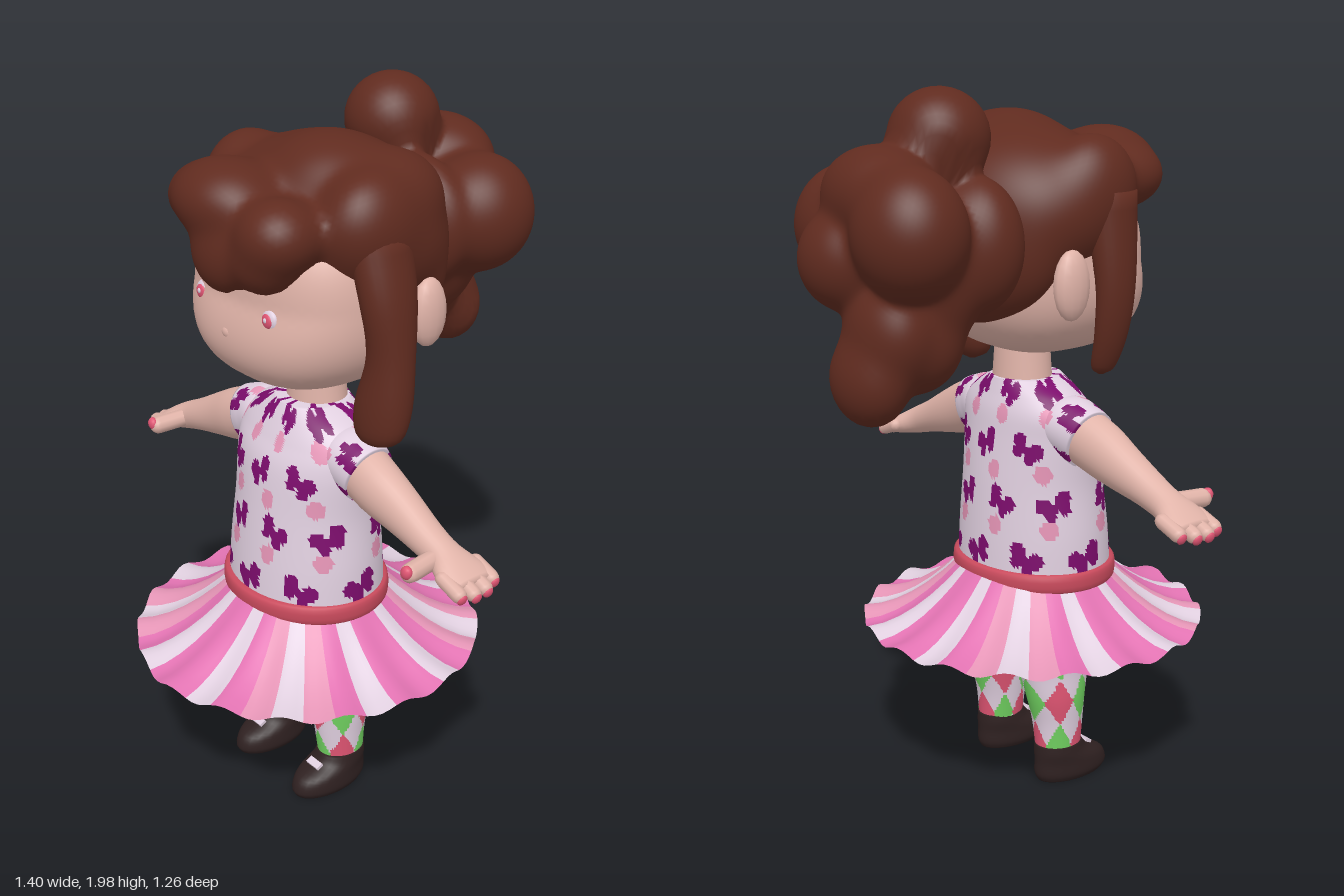
import * as THREE from 'three';
import { mergeVertices } from 'three/addons/utils/BufferGeometryUtils.js';

const mat = (name, color, side = THREE.FrontSide) => {
  const m = new THREE.MeshStandardMaterial({ color, side });
  m.name = name;
  return m;
};
const two = THREE.DoubleSide;

// Closed smooth skin through sections [y, x, z, radiusX, radiusZ], listed bottom to top
function loft(sections, around = 28, rows = 20) {
  const centre = new THREE.CatmullRomCurve3(sections.map(s => new THREE.Vector3(s[1], s[0], s[2])), false, 'catmullrom');
  const radius = new THREE.CatmullRomCurve3(sections.map(s => new THREE.Vector3(s[3], s[4], 0)), false, 'catmullrom');
  const pos = [], index = [];
  for (let i = 0; i <= rows; i++) {
    const c = centre.getPoint(i / rows), r = radius.getPoint(i / rows);
    for (let j = 0; j < around; j++) {
      const a = j / around * Math.PI * 2;
      pos.push(c.x + r.x * Math.sin(a), c.y, c.z + r.y * Math.cos(a));
    }
  }
  const low = centre.getPoint(0), high = centre.getPoint(1), n = pos.length / 3;
  pos.push(low.x, low.y, low.z, high.x, high.y, high.z);
  for (let j = 0; j < around; j++) {
    const k = (j + 1) % around, top = rows * around;
    for (let i = 0; i < rows; i++) {
      const a = i * around + j, b = i * around + k;
      index.push(a, b, a + around, b, b + around, a + around);
    }
    index.push(n, k, j, n + 1, top + j, top + k);
  }
  const g = new THREE.BufferGeometry();
  g.setAttribute('position', new THREE.Float32BufferAttribute(pos, 3));
  g.setIndex(index);
  g.computeVertexNormals();
  return g;
}

// Weld a geometry, move every vertex by a rule and smooth it
function reshape(source, rule) {
  source.deleteAttribute('uv');
  source.deleteAttribute('normal');
  const g = mergeVertices(source, 1e-4), p = g.attributes.position, v = new THREE.Vector3();
  for (let i = 0; i < p.count; i++) {
    rule(v.fromBufferAttribute(p, i));
    p.setXYZ(i, v.x, v.y, v.z);
  }
  g.computeVertexNormals();
  return g;
}

// Sphere grown to the outside of softly merged ellipsoids [x, y, z, rx, ry, rz]
function clump(centre, lumps, soft) {
  const field = p => {
    let sum = 0;
    for (const [x, y, z, a, b, c] of lumps) {
      const q = Math.hypot((p.x - x) / a, (p.y - y) / b, (p.z - z) / c);
      sum += Math.exp(-(q - 1) * Math.min(a, b, c) / soft);
    }
    return sum - 1;
  };
  const c = new THREE.Vector3(...centre), p = new THREE.Vector3();
  return reshape(new THREE.IcosahedronGeometry(1, 24), v => {
    const inside = r => field(p.copy(v).multiplyScalar(r).add(c)) > 0;
    let r = 0.75;
    while (r > 0.02 && !inside(r)) r -= 0.012;
    let lo = r, hi = r + 0.012;
    for (let k = 0; k < 8; k++) {
      const mid = (lo + hi) / 2;
      if (inside(mid)) lo = mid; else hi = mid;
    }
    v.multiplyScalar(lo).add(c);
  });
}

// Sort triangles into material groups; rule(angle, y) gives a material number
function paint(g, cx, cz, rule) {
  const p = g.attributes.position, idx = g.index.array, bins = [[], [], []];
  for (let i = 0; i < idx.length; i += 3) {
    const t = [idx[i], idx[i + 1], idx[i + 2]];
    const mean = f => t.reduce((s, k) => s + f(k), 0) / 3;
    const a = Math.atan2(mean(k => p.getX(k)) - cx, mean(k => p.getZ(k)) - cz);
    bins[rule(a, mean(k => p.getY(k)))].push(...t);
  }
  let start = 0;
  bins.forEach((b, m) => {
    if (b.length) g.addGroup(start, b.length, m);
    start += b.length;
  });
  g.setIndex(bins.flat());
  return g;
}

// Staggered butterflies with dots between them
function butterflies(angle, y) {
  const cell = angle / (Math.PI / 4), row = Math.round((y - 0.7) / 0.155);
  const u = cell - (row & 1) / 2, col = Math.round(u);
  const tilt = (col + row) % 2 ? 0.5 : -0.4;
  const x0 = (u - col) * 0.175, y0 = y - 0.7 - row * 0.155;
  const x = Math.abs(x0 * Math.cos(tilt) - y0 * Math.sin(tilt)), h = x0 * Math.sin(tilt) + y0 * Math.cos(tilt);
  if (Math.hypot(x - 0.03, h - 0.014) < 0.023 || Math.hypot(x - 0.022, h + 0.017) < 0.017 || (x < 0.015 && Math.abs(h) < 0.013)) return 1;
  const d = cell - 0.3, dRow = Math.round((y - 0.79) / 0.155), shift = d - (dRow & 1 ? 0 : 0.1);
  return Math.hypot((shift - Math.round(shift)) * 0.175, y - 0.79 - dRow * 0.155) < 0.027 ? 2 : 0;
}

// Diamonds of two colours on a plain ground
function harlequin(angle, y) {
  const u = angle / (Math.PI * 2) * 6 + 0.5, v = y / 0.14 - 0.35;
  const inside = Math.abs(u - Math.floor(u) - 0.5) + Math.abs(v - Math.floor(v) - 0.5) < 0.52;
  return inside ? 1 + Math.abs(Math.floor(u) + Math.floor(v) + 1) % 2 : 0;
}

export function createModel() {
  const skin = mat('skin', 0xe0b3a8), hair = mat('hair brown', 0x602b1f), shoe = mat('shoe brown', 0x2e2020);
  const white = mat('pale lilac', 0xe0cfdf, two), hot = mat('bright pink', 0xe273b2, two), light = mat('light pink', 0xe595b6, two);
  const purple = mat('purple', 0x7c0c6c), coral = mat('coral', 0xe05573), green = mat('green', 0x70d060), belt = mat('belt red', 0xc84a5c);
  const model = new THREE.Group();
  const add = (name, g, m, parent = model) => {
    const mesh = new THREE.Mesh(g, m);
    mesh.name = name;
    parent.add(mesh);
    return mesh;
  };
  const ball = (name, m, [x, y, z], [a, b, c], parent = model) => {
    const mesh = add(name, new THREE.SphereGeometry(1, 14, 10), m, parent);
    mesh.position.set(x, y, z);
    mesh.scale.set(a, b, c);
  };

  // Head: a rounded, slightly boxy ball with a forward jaw
  add('head', reshape(new THREE.IcosahedronGeometry(1, 14), v => {
    const n = 2.6, k = (Math.abs(v.x) ** n + Math.abs(v.y) ** n + Math.abs(v.z) ** n) ** (-1 / n);
    const jaw = 0.09 * Math.max(0, -v.y) * Math.max(0, v.z);
    v.set(v.x * k * 0.312, 1.522 + v.y * k * 0.26, 0.125 + v.z * k * 0.25 + jaw);
  }), skin);
  ball('nose', skin, [0, 1.435, 0.382], [0.026, 0.02, 0.018]);
  add('neck', loft([[1.1, 0, 0.1, 0.1, 0.085], [1.19, 0, 0.1, 0.088, 0.08], [1.32, 0, 0.1, 0.075, 0.075]], 28, 8), skin);

  // Hair: cap with fringe, ponytail and two hanging locks
  add('hairCap', clump([0, 1.62, 0.1], [
    [0, 1.66, 0.06, 0.345, 0.23, 0.27], [0, 1.55, -0.05, 0.29, 0.2, 0.14],
    [-0.05, 1.765, 0.34, 0.15, 0.1, 0.13], [0, 1.645, 0.39, 0.1, 0.1, 0.07],
    [0.13, 1.655, 0.36, 0.085, 0.085, 0.08], [0.17, 1.72, 0.35, 0.1, 0.09, 0.1], [-0.17, 1.74, 0.3, 0.11, 0.085, 0.11],
    [0.26, 1.73, 0.14, 0.1, 0.13, 0.13], [-0.26, 1.73, 0.12, 0.1, 0.13, 0.12],
    [0.06, 1.8, 0.1, 0.16, 0.11, 0.15], [0.2, 1.77, 0.02, 0.12, 0.11, 0.13],
  ], 0.016), hair);
  add('ponytail', clump([-0.1, 1.56, -0.36], [
    [-0.115, 1.86, -0.26, 0.13, 0.125, 0.13], [-0.26, 1.65, -0.45, 0.15, 0.16, 0.14],
    [0.12, 1.63, -0.37, 0.15, 0.16, 0.15], [-0.04, 1.57, -0.49, 0.13, 0.13, 0.12],
    [-0.1, 1.73, -0.43, 0.17, 0.12, 0.13], [-0.09, 1.53, -0.33, 0.22, 0.23, 0.14],
    [-0.13, 1.28, -0.49, 0.12, 0.12, 0.09], [-0.14, 1.36, -0.37, 0.14, 0.13, 0.12],
    [-0.22, 1.6, -0.22, 0.13, 0.17, 0.11], [0.04, 1.62, -0.22, 0.17, 0.18, 0.09], [-0.16, 1.4, -0.45, 0.13, 0.13, 0.1],
  ], 0.014), hair);
  add('leftLock', loft([[1.17, 0.325, 0.17, 0.01, 0.01], [1.2, 0.33, 0.165, 0.07, 0.05], [1.28, 0.335, 0.155, 0.083, 0.065],
    [1.42, 0.35, 0.145, 0.062, 0.062], [1.57, 0.335, 0.145, 0.062, 0.08], [1.72, 0.29, 0.14, 0.07, 0.09]]), hair);
  add('rightLock', loft([[1.235, -0.285, 0.14, 0.008, 0.008], [1.26, -0.295, 0.14, 0.03, 0.035], [1.36, -0.325, 0.14, 0.038, 0.05],
    [1.5, -0.335, 0.14, 0.045, 0.06], [1.72, -0.3, 0.14, 0.07, 0.08]]), hair);

  // Shirt, belt and hips
  const shirt = [white, purple, light];
  add('shirt', paint(loft([[0.62, 0, 0.145, 0.242, 0.205], [0.75, 0, 0.142, 0.238, 0.195], [0.9, 0, 0.138, 0.228, 0.178],
    [1.03, 0, 0.135, 0.235, 0.158], [1.1, 0, 0.125, 0.23, 0.138], [1.15, 0, 0.12, 0.18, 0.118], [1.19, 0, 0.115, 0.1, 0.1]],
  144, 72), 0, 0.14, butterflies), shirt);
  add('belt', loft([[0.605, 0, 0.145, 0.235, 0.2], [0.615, 0, 0.145, 0.252, 0.218], [0.655, 0, 0.145, 0.252, 0.218],
    [0.665, 0, 0.145, 0.235, 0.2]], 48, 9), belt);
  const tights = [white, coral, green];
  add('hips', paint(loft([[0.4, 0, 0.125, 0.08, 0.09], [0.45, 0, 0.13, 0.17, 0.14], [0.52, 0, 0.135, 0.2, 0.165],
    [0.61, 0, 0.14, 0.21, 0.18]], 72, 18), 0, 0.13, harlequin), tights);

  // Skirt: flared ring with ripples, pointed at the front
  const skirt = reshape(new THREE.RingGeometry(0.215, 0.49, 144, 6).rotateX(-Math.PI / 2), v => {
    const r = Math.hypot(v.x, v.z), a = Math.atan2(v.x, v.z), t = THREE.MathUtils.clamp((r - 0.215) / 0.275, 0, 1);
    const R = r + t * (0.002 * Math.cos(a * 18) + 0.018 * Math.exp(-Math.abs(a) * 5));
    v.set(R * Math.sin(a), 0.635 - 0.16 * (1 - (1 - t) ** 1.8) + 0.011 * t * Math.sin(a * 18 + 0.6), 0.14 + R * Math.cos(a));
  });
  const stripes = [1, 0, 1, 2, 0, 2, 1, 0, 1];
  add('skirt', paint(skirt, 0, 0.14, a => stripes[Math.floor((a + Math.PI) / (Math.PI / 18)) % 9]), [white, hot, light]);

  for (const s of [1, -1]) {
    const side = s > 0 ? 'left' : 'right';
    // Eyes and ears
    ball(side + 'Eye', white, [s * 0.14, 1.5, 0.357], [0.029, 0.03, 0.016]);
    ball(side + 'Iris', coral, [s * 0.14, 1.5, 0.367], [0.02, 0.02, 0.009]);
    ball(side + 'EyeGlint', white, [s * 0.14, 1.503, 0.374], [0.007, 0.007, 0.004]);
    ball(side + 'Ear', skin, [s * 0.325, 1.49, 0], [0.035, 0.092, 0.055]);

    // Legs and shoes
    add(side + 'Leg', paint(loft([[0.08, s * 0.137, 0.13, 0.058, 0.068], [0.18, s * 0.133, 0.13, 0.067, 0.078],
      [0.26, s * 0.13, 0.125, 0.075, 0.092], [0.34, s * 0.122, 0.125, 0.08, 0.112], [0.42, s * 0.115, 0.125, 0.09, 0.138],
      [0.52, s * 0.11, 0.13, 0.095, 0.15]], 72, 48), s * 0.127, 0.128, harlequin), tights);
    add(side + 'Shoe', loft([[0, s * 0.137, 0.178, 0.06, 0.115], [0.02, s * 0.137, 0.178, 0.069, 0.124], [0.055, s * 0.137, 0.17, 0.068, 0.115],
      [0.085, s * 0.137, 0.14, 0.065, 0.085], [0.112, s * 0.137, 0.13, 0.061, 0.073]]), shoe);
    const bow = add(side + 'ShoeBow', new THREE.BoxGeometry(0.05, 0.009, 0.022), white);
    bow.position.set(s * 0.137, 0.086, 0.228);
    bow.rotation.x = 0.45;

    // Arm: built along local y, then swung outwards
    const arm = new THREE.Group();
    arm.name = side + 'Arm';
    arm.position.set(s * 0.2, 1.065, 0.135);
    arm.rotation.z = -s * 1.92;
    model.add(arm);
    add(side + 'Forearm', loft([[-0.04, 0, -0.01, 0.08, 0.075], [0.1, 0, 0, 0.079, 0.068], [0.2, 0, 0, 0.066, 0.058],
      [0.3, 0, 0.003, 0.05, 0.05], [0.37, 0, 0.003, 0.043, 0.048], [0.42, 0, 0.003, 0.036, 0.066],
      [0.46, 0, 0, 0.028, 0.077], [0.49, 0, 0, 0.02, 0.072]]), skin, arm);
    add(side + 'Sleeve', paint(loft([[-0.1, 0, -0.01, 0.05, 0.06], [-0.04, 0, -0.01, 0.08, 0.09], [0.02, 0, -0.006, 0.086, 0.084],
      [0.058, 0, -0.003, 0.086, 0.076]], 56, 20), 0, 0, (a, y) => butterflies(a * 0.5 + 0.4, y + 0.68)), shirt, arm);
    // Fingers and thumb with painted nails
    [-0.06, -0.021, 0.02, 0.058].forEach((z, i) => {
      const tip = [0.505, 0.523, 0.525, 0.512][i];
      add(side + 'Finger', new THREE.CapsuleGeometry(0.021, 0.06, 4, 10), skin, arm).position.set(0, tip - 0.045, z);
      ball(side + 'Nail', coral, [s * 0.003, tip, z], [0.016, 0.009, 0.015], arm);
    });
    const thumb = add(side + 'Thumb', new THREE.CapsuleGeometry(0.026, 0.085, 4, 10), skin, arm);
    thumb.position.set(0, 0.378, 0.08);
    thumb.rotation.x = 1.45;
    ball(side + 'ThumbNail', coral, [-s * 0.008, 0.384, 0.138], [0.02, 0.017, 0.014], arm);
  }
  return model;
}
